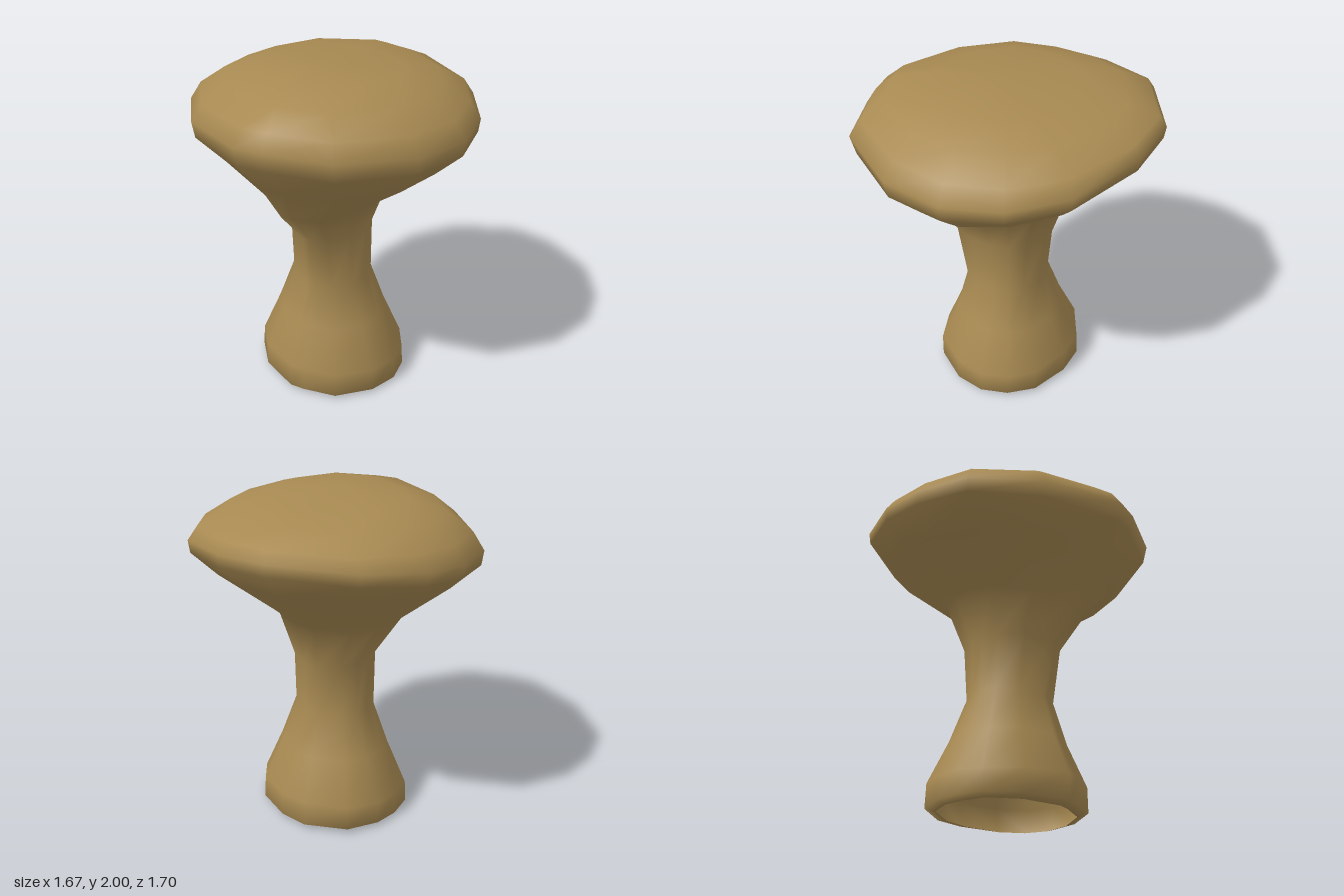
import * as THREE from 'three';

// Irregular rim outline as unit directions (x, z), going back > left > front > right
const OUTLINE = [
  [0, -0.85], [0.32, -0.75], [0.68, -0.47], [0.82, -0.16], [0.835, 0.17], [0.7, 0.5], [0.37, 0.81],
  [0, 0.845], [-0.17, 0.83], [-0.6, 0.54], [-0.835, 0.17], [-0.82, -0.16], [-0.72, -0.44], [-0.47, -0.73],
].map(([x, z]) => [x / 0.835, z / 0.85]);

// Cross-sections: y at front, sides and back; half width; depth to front and back; x shift
const RINGS = [
  [0, 0, 0.02, 0.4, 0.37, 0.38, 0],
  [0.02, 0.02, 0.03, 0.458, 0.43, 0.44, 0],
  [0.17, 0.15, 0.18, 0.45, 0.43, 0.435, 0],
  [0.42, 0.42, 0.42, 0.335, 0.33, 0.32, 0],
  [0.67, 0.68, 0.68, 0.24, 0.265, 0.225, 0],
  [1.0, 1.02, 1.0, 0.24, 0.32, 0.25, 0],
  [1.2, 1.26, 1.28, 0.36, 0.48, 0.34, -0.03],
  [1.42, 1.48, 1.6, 0.665, 0.62, 0.72, 0],
  [1.63, 1.62, 1.74, 0.825, 0.82, 0.84, 0],
  [1.74, 1.7, 1.81, 0.835, 0.85, 0.85, 0],
  [1.83, 1.8, 1.87, 0.77, 0.79, 0.81, 0],
  [1.93, 1.9, 1.93, 0.62, 0.67, 0.64, 0],
  [1.98, 1.965, 1.96, 0.42, 0.43, 0.38, 0],
];

function loftGeometry() {
  const n = OUTLINE.length;
  const positions = [];
  const indices = [];

  for (const [yF, yS, yB, width, front, back, shift] of RINGS) {
    for (const [dx, dz] of OUTLINE) {
      // Height bends smoothly from back through the sides to the front
      const y = yS + ((yF - yB) / 2) * dz + ((yF + yB) / 2 - yS) * dz * dz;
      positions.push(dx * width + shift, Math.max(y, 0), dz * (dz > 0 ? front : back));
    }
  }
  for (let i = 0; i < RINGS.length - 1; i++) {
    for (let j = 0; j < n; j++) {
      const a = i * n + j;
      const b = i * n + ((j + 1) % n);
      indices.push(b, a, a + n, b, a + n, b + n);
    }
  }
  // Close the slightly domed top with a fan; the foot stays open
  const top = RINGS.length * n;
  positions.push(0, 2, 0.1);
  for (let j = 0; j < n; j++) {
    indices.push(top - n + ((j + 1) % n), top - n + j, top);
  }

  const geometry = new THREE.BufferGeometry();
  geometry.setAttribute('position', new THREE.Float32BufferAttribute(positions, 3));
  geometry.setIndex(indices);
  geometry.computeVertexNormals();
  return geometry;
}

export function createModel() {
  const group = new THREE.Group();
  group.name = 'pedestal';

  // One continuous skin: flared foot, narrow neck and broad tilted cap
  const material = new THREE.MeshStandardMaterial({ color: 0xa88a52, side: THREE.DoubleSide });
  const body = new THREE.Mesh(loftGeometry(), material);
  body.name = 'pedestalBody';
  group.add(body);
  return group;
}
